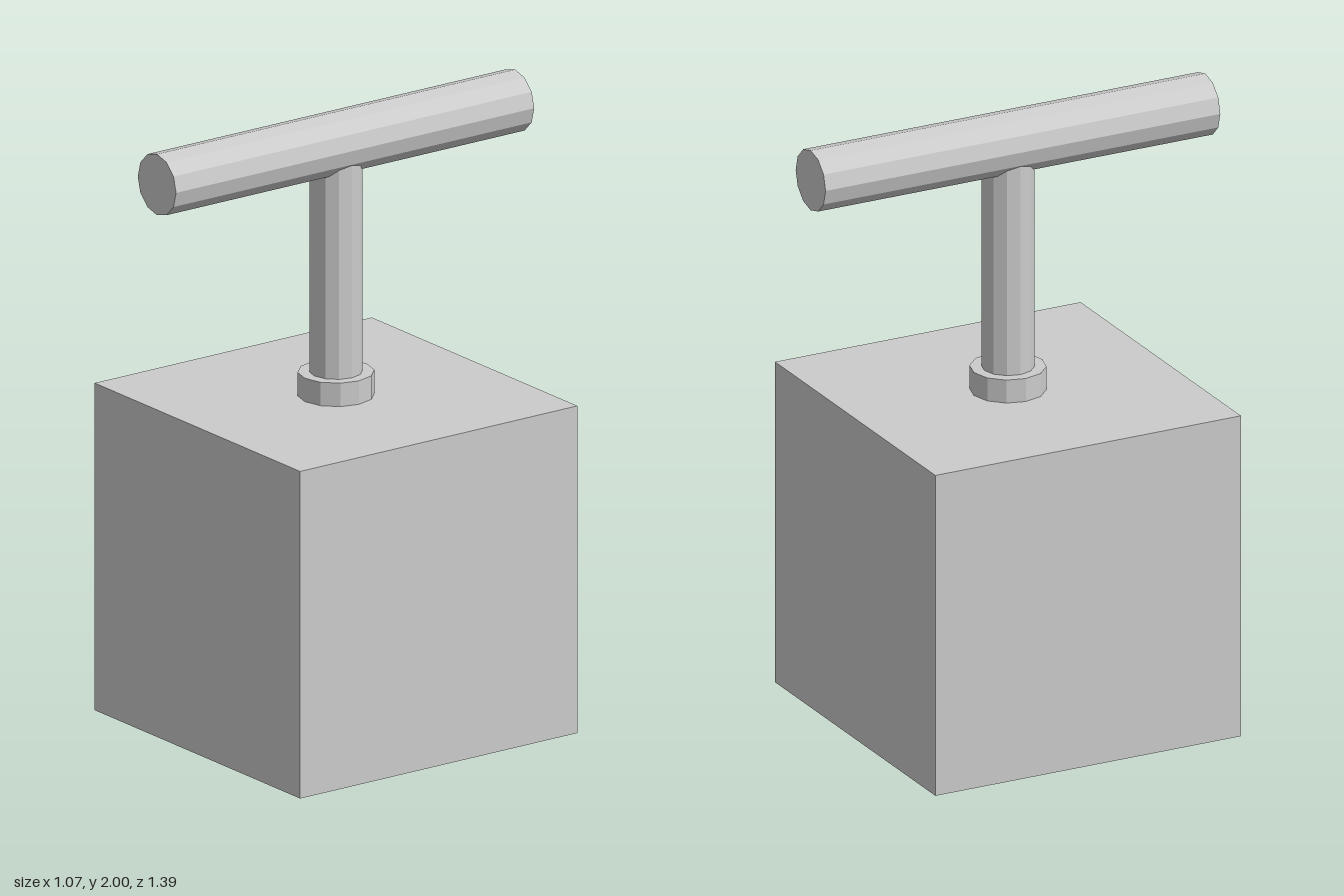
import * as THREE from 'three';

const SIDES = 12;

export function createModel() {
  const model = new THREE.Group();
  const material = new THREE.MeshStandardMaterial({ color: 0xcccccc, flatShading: true });

  const add = (name, geometry, y) => {
    const mesh = new THREE.Mesh(geometry, material);
    mesh.name = name;
    mesh.position.y = y;
    model.add(mesh);
    return mesh;
  };
  // Upright faceted cylinder spanning bottom to top
  const post = (name, radius, bottom, top) =>
    add(name, new THREE.CylinderGeometry(radius, radius, top - bottom, SIDES), (bottom + top) / 2);

  // Cubic base block
  const size = 1.073;
  add('base', new THREE.BoxGeometry(size, size, size), size / 2);

  // Collar where the shaft enters the base
  post('collar', 0.12, size, 1.15);

  // Shaft, ending inside the handle
  post('shaft', 0.083, size, 1.9);

  // Crossbar handle running front to back
  const handle = new THREE.CylinderGeometry(0.1, 0.1, 1.386, SIDES).rotateX(Math.PI / 2);
  add('handle', handle, 1.9);

  return model;
}
